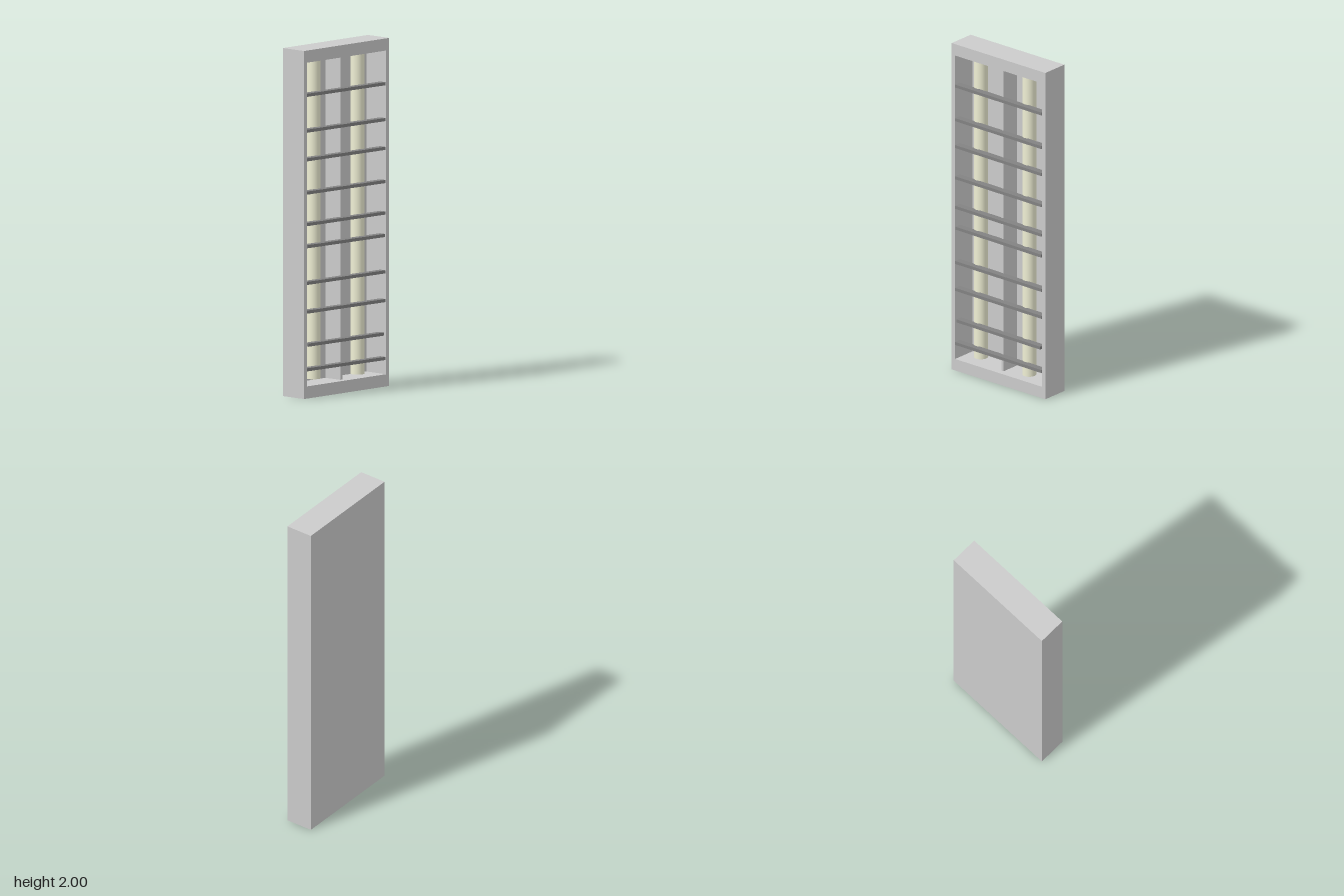
import * as THREE from 'three';

const grey = new THREE.MeshStandardMaterial({ color: 0xcccccc });
const dark = new THREE.MeshStandardMaterial({ color: 0x828282 });
const cream = new THREE.MeshStandardMaterial({ color: 0xefefd4 });

const DEPTH = 0.166, WIDTH = 0.7, HEIGHT = 2;
const INNER_W = 0.65, FLOOR = 0.07, CEILING = 1.93;
const BACK = 0.012; // back panel thickness
const BACK_X = -DEPTH / 2 + BACK;

function rect(path, w, y0, y1) {
  path.moveTo(-w / 2, y0);
  path.lineTo(w / 2, y0);
  path.lineTo(w / 2, y1);
  path.lineTo(-w / 2, y1);
  path.closePath();
  return path;
}

export function createModel() {
  const group = new THREE.Group();
  const add = (name, geometry, material, x = 0, y = 0, z = 0) => {
    const mesh = new THREE.Mesh(geometry, material);
    mesh.name = name;
    mesh.position.set(x, y, z);
    group.add(mesh);
    return mesh;
  };

  // Rectangular housing frame, open towards +x
  const outline = rect(new THREE.Shape(), WIDTH, 0, HEIGHT);
  outline.holes.push(rect(new THREE.Path(), INNER_W, FLOOR, CEILING));
  const frame = new THREE.ExtrudeGeometry(outline, { depth: DEPTH - BACK, bevelEnabled: false });
  frame.rotateY(Math.PI / 2);
  add('housingFrame', frame, grey, BACK_X);

  // Closed back panel
  add('backPanel', new THREE.BoxGeometry(BACK, HEIGHT, WIDTH), grey, BACK_X - BACK / 2, HEIGHT / 2, 0);

  // Upright fin between the tubes
  const finFront = 0.045;
  add('divider', new THREE.BoxGeometry(finFront - BACK_X, CEILING - FLOOR, 0.018), grey,
    (finFront + BACK_X) / 2, (CEILING + FLOOR) / 2, 0.003);

  // Two light tubes hanging from the ceiling
  for (const [z, bottom] of [[0.195, 0.095], [-0.167, 0.083]]) {
    const length = CEILING - bottom;
    add('lightTube', new THREE.CylinderGeometry(0.04, 0.04, length, 32), cream, 0.009, bottom + length / 2, z);
  }

  // Ten slats across the opening: height, length and slight tilt
  const slats = [
    [0.163, 0.645, 0.006], [0.304, 0.625, 0.005], [0.495, 0.645, 0.004], [0.66, 0.645, 0.004],
    [0.87, 0.64, 0.006], [0.998, 0.645, 0.004], [1.179, 0.645, 0.004], [1.37, 0.645, 0.005],
    [1.535, 0.645, 0.004], [1.741, 0.645, 0.004],
  ];
  for (const [y, length, tilt] of slats) {
    const slat = add('slat', new THREE.BoxGeometry(0.04, 0.018, length), dark, 0.062, y, 0.002);
    slat.rotation.x = -tilt;
  }

  return group;
}
